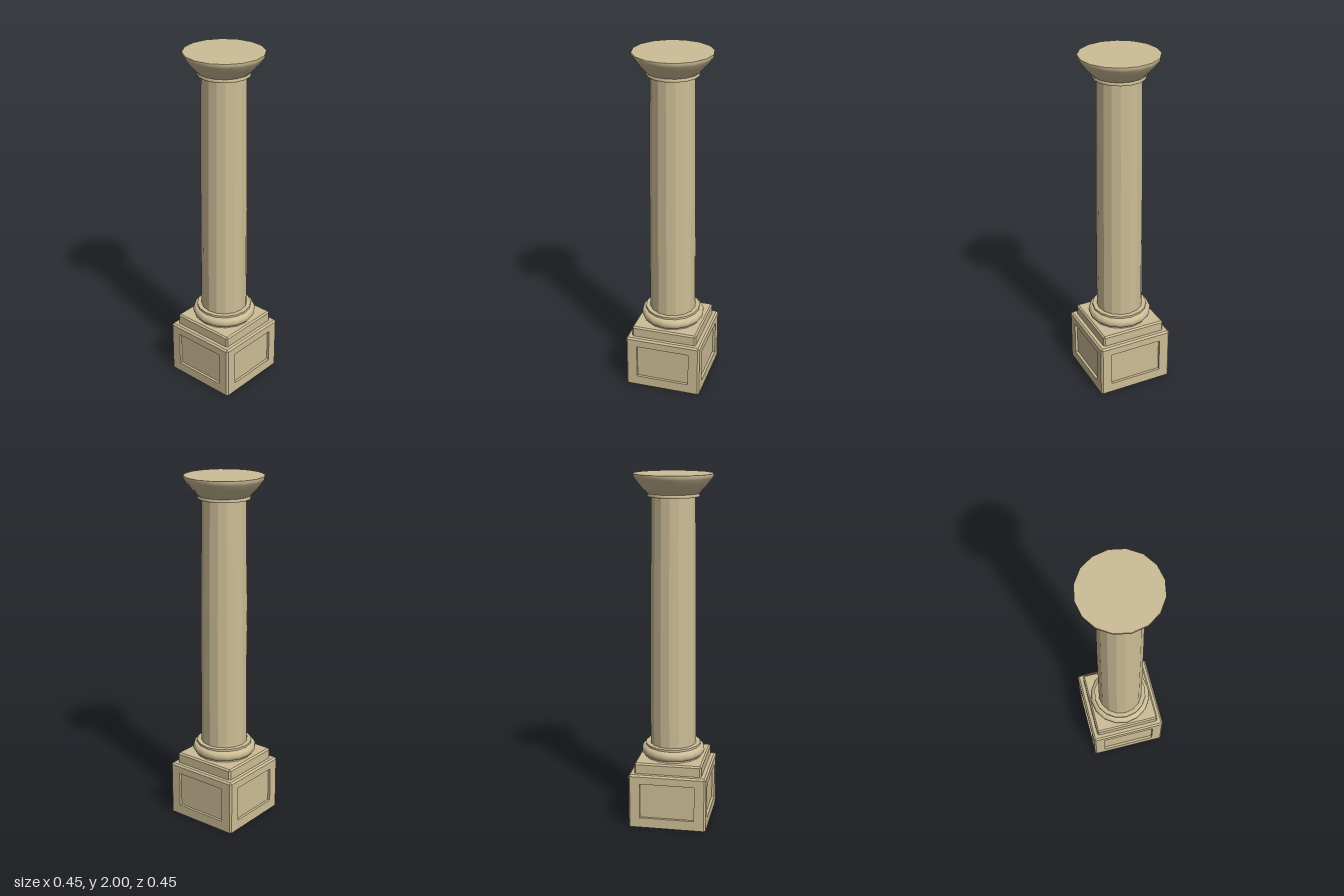
import * as THREE from 'three';
import { toCreasedNormals } from 'three/addons/utils/BufferGeometryUtils.js';
import { ConvexGeometry } from 'three/addons/geometries/ConvexGeometry.js';

const SIDES = 16;

// Turned part: closed profile of [radius, y] from bottom to top.
function turned(profile, crease) {
  const points = profile.map(([r, y]) => new THREE.Vector2(r, y));
  return toCreasedNormals(new THREE.LatheGeometry(points, SIDES), crease);
}

// Square slab with bevelled vertical corners and a bevelled top edge.
function bevelledSlab(half, y0, y1, bevel) {
  const inner = half - bevel;
  const points = [];
  for (const sx of [-1, 1]) for (const sz of [-1, 1]) {
    for (const y of [y0, y1 - bevel]) {
      points.push(new THREE.Vector3(sx * half, y, sz * inner));
      points.push(new THREE.Vector3(sx * inner, y, sz * half));
    }
    points.push(new THREE.Vector3(sx * inner, y1, sz * inner));
  }
  return new ConvexGeometry(points);
}

export function createModel() {
  const model = new THREE.Group();
  model.name = 'column';
  const stone = new THREE.MeshStandardMaterial({ color: 0xccbd96 });
  stone.name = 'sandstone';

  const add = (name, geometry, parent = model) => {
    const mesh = new THREE.Mesh(geometry, stone);
    mesh.name = name;
    parent.add(mesh);
    return mesh;
  };

  // Pedestal: core, four panel frames, bevelled corners and top edge
  const half = 0.224, bevel = 0.01, depth = 0.015, bodyTop = 0.308;
  const inner = half - bevel;
  const pedestal = new THREE.Group();
  pedestal.name = 'pedestal';
  model.add(pedestal);

  const coreSize = 2 * (half - depth);
  add('pedestalCore', new THREE.BoxGeometry(coreSize, bodyTop, coreSize).translate(0, bodyTop / 2, 0), pedestal);

  const frame = new THREE.Shape([
    new THREE.Vector2(-inner, 0), new THREE.Vector2(inner, 0),
    new THREE.Vector2(inner, bodyTop), new THREE.Vector2(-inner, bodyTop),
  ]);
  frame.holes.push(new THREE.Path([
    new THREE.Vector2(-0.157, 0.058), new THREE.Vector2(-0.157, 0.265),
    new THREE.Vector2(0.157, 0.265), new THREE.Vector2(0.157, 0.058),
  ]));
  const frameGeometry = new THREE.ExtrudeGeometry(frame, { depth, bevelEnabled: false });
  frameGeometry.translate(0, 0, half - depth);

  const cornerPoints = [];
  for (const y of [0, bodyTop]) {
    cornerPoints.push(
      new THREE.Vector3(inner, y, inner),
      new THREE.Vector3(half, y, inner),
      new THREE.Vector3(inner, y, half),
    );
  }
  const cornerGeometry = new ConvexGeometry(cornerPoints);

  for (let i = 0; i < 4; i++) {
    add('panelFrame', frameGeometry, pedestal).rotation.y = i * Math.PI / 2;
    add('cornerBevel', cornerGeometry, pedestal).rotation.y = i * Math.PI / 2;
  }
  add('pedestalTop', bevelledSlab(half, bodyTop, bodyTop + bevel, bevel), pedestal);

  // Plinth between pedestal and rounded base
  add('plinth', bevelledSlab(0.194, 0.318, 0.38, 0.009));

  // Rounded base moulding with a thin ring on top
  const base = [[0, 0.38], [0.165, 0.38]];
  for (let i = 0; i <= 8; i++) {
    const a = -Math.PI / 2 + (i / 8) * Math.PI;
    base.push([0.16 + 0.024 * Math.cos(a), 0.416 + 0.029 * Math.sin(a)]);
  }
  base.push([0.16, 0.457], [0, 0.457]);
  add('baseMoulding', turned(base, 0.7));

  // Faceted shaft with a slight swelling taper
  add('shaft', turned([[0.134, 0.45], [0.133, 0.8], [0.131, 1.2], [0.128, 1.5], [0.123, 1.885]], 0.3));

  // Flared capital
  add('capital', turned([
    [0, 1.875], [0.145, 1.875], [0.147, 1.882], [0.143, 1.892],
    [0.162, 1.912], [0.19, 1.942], [0.215, 1.975], [0.222, 1.987],
    [0.222, 2], [0, 2],
  ], 0.7));

  return model;
}
